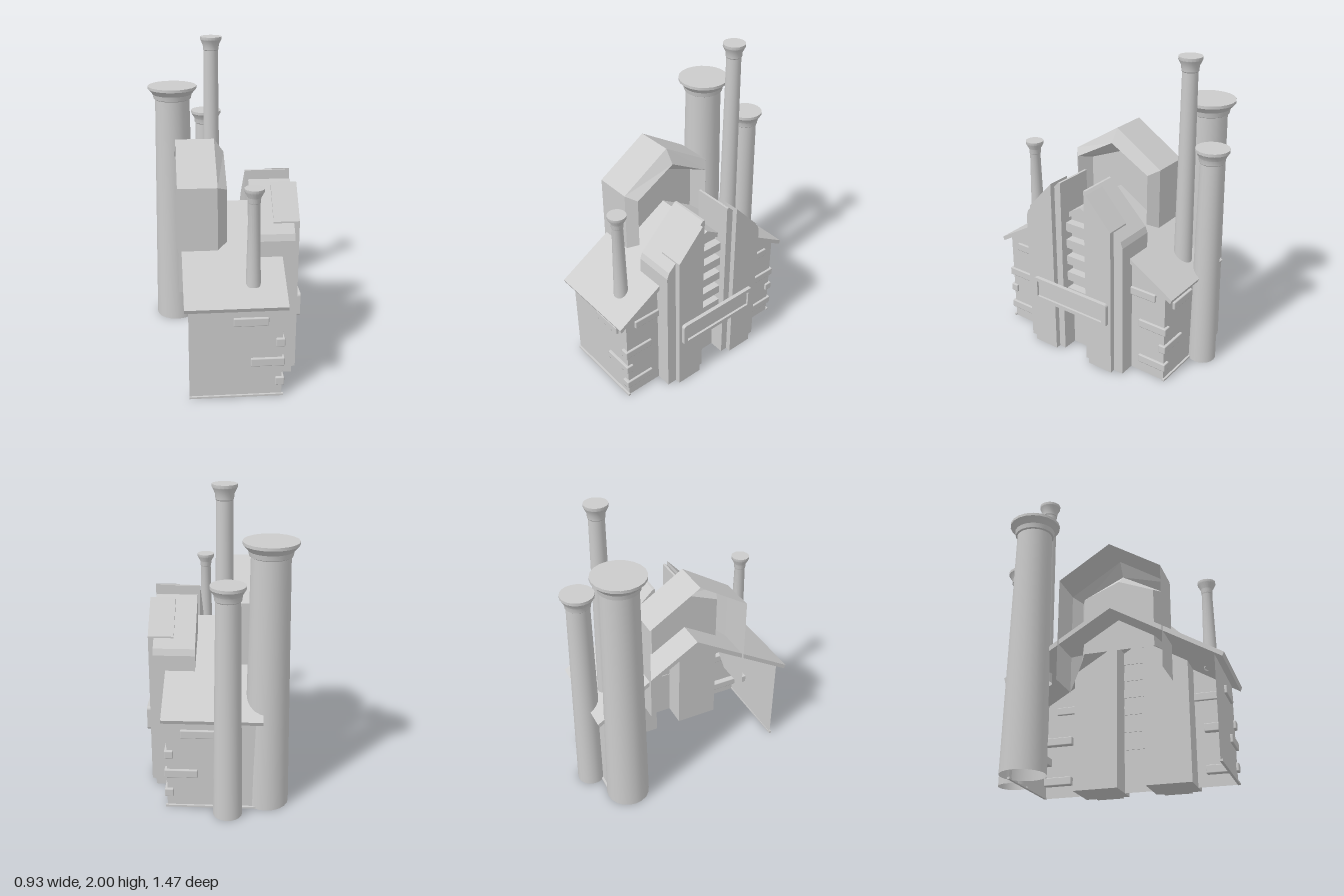
import * as THREE from 'three';
import { RoundedBoxGeometry } from 'three/addons/geometries/RoundedBoxGeometry.js';
import { toCreasedNormals } from 'three/addons/utils/BufferGeometryUtils.js';

const MID = 0.05; // z of the building's mirror line
const mat = new THREE.MeshStandardMaterial({ color: 0xcccccc, side: THREE.DoubleSide });

function shapeOf(points) {
  return new THREE.Shape(points.map(([z, y]) => new THREE.Vector2(z, y)));
}

export function createModel() {
  const root = new THREE.Group();
  const add = (name, geometry) => {
    const mesh = new THREE.Mesh(geometry, mat);
    mesh.name = name;
    root.add(mesh);
    return mesh;
  };
  // Extrude a (z, y) outline from x0 to x1
  const prism = (name, shape, x0, x1) => {
    const g = new THREE.ExtrudeGeometry(shape, { depth: x1 - x0, bevelEnabled: false });
    g.rotateY(-Math.PI / 2).translate(x1, 0, 0);
    return add(name, g);
  };
  const box = (name, x0, x1, y0, y1, z0, z1, r = 0) => {
    const s = [x1 - x0, y1 - y0, z1 - z0];
    const g = r ? new RoundedBoxGeometry(...s, 1, r) : new THREE.BoxGeometry(...s);
    return add(name, g.translate((x0 + x1) / 2, (y0 + y1) / 2, (z0 + z1) / 2));
  };
  // z measured outwards from the mirror line, on either side
  const mirrored = (side, a, b) => (side > 0 ? [MID + a, MID + b] : [MID - b, MID - a]);

  // Shell walls, open at the rear (-x) and underneath
  const gable = new THREE.ShapeGeometry(shapeOf([
    [MID - 0.625, 0], [MID + 0.625, 0], [MID + 0.625, 0.64], [MID, 1.02], [MID - 0.625, 0.64]]));
  add('gableWall', gable.rotateY(-Math.PI / 2).translate(0.305, 0, 0));
  for (const side of [1, -1]) {
    const wall = new THREE.PlaneGeometry(0.56, 0.64);
    if (side < 0) wall.rotateY(Math.PI);
    add('sideWall', wall.translate(0.025, 0.32, MID + side * 0.625));
    box('baseTrim', -0.255, 0.315, 0, 0.012, ...mirrored(side, 0.622, 0.638));
  }

  // Pitched roof slab
  prism('roof', shapeOf([
    [MID - 0.685, 0.625], [MID - 0.675, 0.6], [MID, 1.005], [MID + 0.675, 0.6],
    [MID + 0.685, 0.625], [MID, 1.04]]), -0.28, 0.33);

  // Dormer: lofted along x through outer shell, bevelled frame and recess
  const loops = [ // x, inset, foot, eave, peak
    [-0.30, 0, 0.57, 1.24, 1.45],
    [-0.06, 0, 0.57, 1.24, 1.45],
    [0, 0.055, 0.8, 1.21, 1.365],
    [-0.1, 0.1, 0.8, 1.185, 1.28],
  ].map(([x, d, foot, eave, peak]) => [
    [x, foot, MID + 0.33 - d], [x, eave, MID + 0.33 - d], [x, peak, MID],
    [x, eave, MID - 0.33 + d], [x, foot, MID - 0.33 + d]]);
  const pos = [];
  for (let i = 0; i < loops.length - 1; i++) {
    for (let j = 0; j < 4; j++) {
      const [a, b, c, d] = [loops[i][j], loops[i + 1][j], loops[i + 1][j + 1], loops[i][j + 1]];
      pos.push(...a, ...b, ...c, ...a, ...c, ...d);
    }
  }
  const dormer = new THREE.BufferGeometry();
  dormer.setAttribute('position', new THREE.Float32BufferAttribute(pos, 3));
  dormer.computeVertexNormals();
  add('dormer', dormer);
  const panel = new THREE.ShapeGeometry(shapeOf(loops[3].map(([, y, z]) => [z, y])));
  add('dormerPanel', panel.rotateY(-Math.PI / 2).rotateY(0).translate(-0.1, 0, 0));

  // Stepped buttresses with sloping tops, on both sides of the slats
  for (const side of [1, -1]) {
    const z = (v) => MID + side * v;
    prism('buttress', shapeOf([
      [z(0.09), 0], [z(0.38), 0], [z(0.38), 0.91], [z(0.365), 0.95], [z(0.105), 1.21], [z(0.09), 1.21]]),
    0.145, 0.405);
    prism('buttressFace', shapeOf([
      [z(0.137), 0], [z(0.315), 0], [z(0.315), 1.01], [z(0.137), 1.205]]), 0.28, 0.44);
  }

  // Slats between the buttresses
  for (let i = 0; i < 6; i++) {
    const y = 0.275 + i * 0.118;
    box('slat', 0.3, 0.36, y, y + 0.06, -0.04, 0.14);
  }

  // Blank framed board across the buttresses
  const frame = new RoundedRect(-0.245, 0.345, 0.35, 0.51, 0.02);
  frame.holes.push(new THREE.Path([[-0.21, 0.375], [-0.21, 0.485], [0.315, 0.485], [0.315, 0.375]]
    .map(([a, b]) => new THREE.Vector2(a, b))));
  prism('boardFrame', frame, 0.44, 0.465);
  box('boardPanel', 0.44, 0.45, 0.37, 0.49, -0.22, 0.325);

  // Raised bricks around the corners: x0, x1, y, z from the mirror line
  const bricks = [
    [0.29, 0.32, 0.555, 0.36, 0.56],
    [0.265, 0.32, 0.34, 0.44, 0.642],
    [0.115, 0.32, 0.21, 0.59, 0.642],
    [0.265, 0.32, 0.075, 0.44, 0.642],
    [0.01, 0.22, 0.483, 0.6, 0.642],
  ];
  for (const side of [1, -1]) {
    for (const [x0, x1, y, a, b] of bricks) {
      box('brick', x0, x1, y, y + 0.053, ...mirrored(side, a, b), 0.006);
    }
  }

  // Chimneys: tapered shaft, collar and flared cap
  const chimney = (x, z, y0, y1, foot, neck, cap, flare) => {
    const collar = y1 - flare;
    const profile = [
      [foot, y0], [neck, collar], [neck * 1.09, collar + 0.006],
      [neck * 1.14, collar + flare * 0.4], [cap * 0.97, y1 - 0.022], [cap, y1 - 0.018], [cap, y1], [0, y1],
    ].map(([r, y]) => new THREE.Vector2(r, y));
    const g = toCreasedNormals(new THREE.LatheGeometry(profile, 20), 0.5);
    add('chimney', g.translate(x, 0, z));
  };
  chimney(-0.305, -0.465, 0, 1.68, 0.14, 0.115, 0.163, 0.09);
  chimney(-0.07, -0.635, 0, 1.47, 0.09, 0.072, 0.104, 0.09);
  chimney(-0.043, -0.477, 0.66, 2.0, 0.058, 0.047, 0.071, 0.09);
  chimney(0.135, 0.58, 0.7, 1.305, 0.045, 0.034, 0.058, 0.09);

  return root;
}

// Rectangle shape with rounded corners
class RoundedRect extends THREE.Shape {
  constructor(x0, x1, y0, y1, r) {
    super();
    this.absarc(x1 - r, y0 + r, r, -Math.PI / 2, 0);
    this.absarc(x1 - r, y1 - r, r, 0, Math.PI / 2);
    this.absarc(x0 + r, y1 - r, r, Math.PI / 2, Math.PI);
    this.absarc(x0 + r, y0 + r, r, Math.PI, Math.PI * 1.5);
    this.closePath();
  }
}
